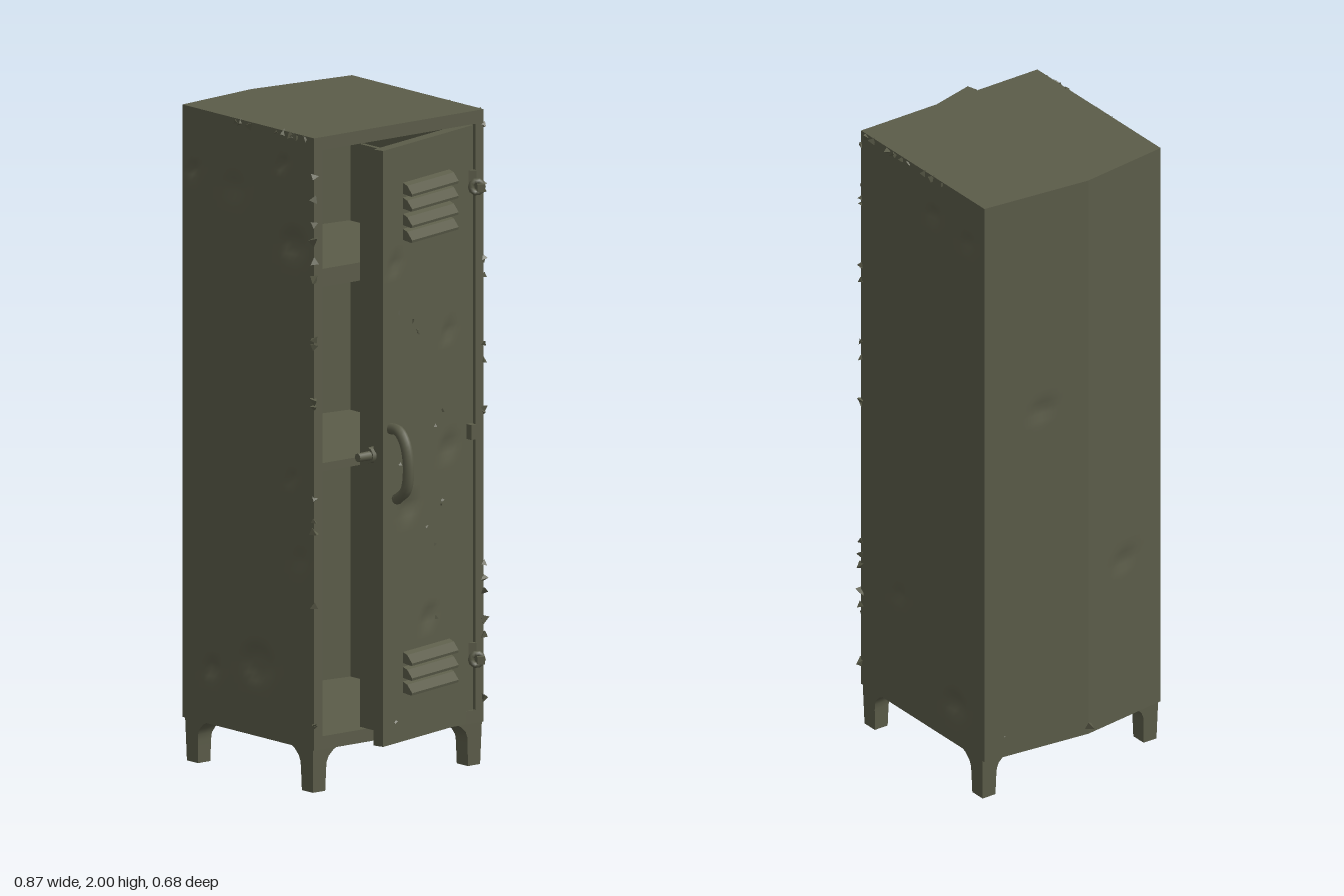
import * as THREE from 'three';

const paint = new THREE.MeshStandardMaterial({ color: 0x5b5c49 });
paint.name = 'drab green paint';

let seed = 7;
const rnd = () => (seed = (seed * 16807) % 2147483647) / 2147483647;

function add(parent, name, geo, x = 0, y = 0, z = 0) {
  const m = new THREE.Mesh(geo, paint);
  m.name = name;
  m.position.set(x, y, z);
  parent.add(m);
  return m;
}
const box = (p, name, w, h, d, x, y, z) => add(p, name, new THREE.BoxGeometry(w, h, d), x, y, z);

// Push the outer (+z) face of a panel inward around each dent [x, y, radius, depth]
function dent(geo, dents, outer) {
  const p = geo.attributes.position;
  for (let i = 0; i < p.count; i++) {
    if (p.getZ(i) < outer - 1e-4) continue;
    let d = 0;
    for (const [x, y, r, depth] of dents) {
      const k = Math.hypot(p.getX(i) - x, (p.getY(i) - y) * 1.3) / r;
      if (k < 1) d += depth * (1 - k * k) ** 2;
    }
    p.setZ(i, outer - Math.min(d, 0.016));
  }
  geo.computeVertexNormals();
  return geo;
}

const BOTTOM = 0.13, TOP = 1.99, H = TOP - BOTTOM, MID = (TOP + BOTTOM) / 2;
const XR = 0.24, XL = -0.377, Z = 0.325;

// Upright sheet from p to q, with its outer face on that line
function wall(parent, name, [px, pz], [qx, qz], dents) {
  const dx = qx - px, dz = qz - pz, L = Math.hypot(dx, dz), t = 0.022;
  const geo = new THREE.BoxGeometry(L, H, t, Math.round(L * 50), 90, 1);
  const a = Math.atan2(-dz, dx);
  const m = add(parent, name, dent(geo, dents, t / 2),
    (px + qx) / 2 - Math.sin(a) * t / 2, MID, (pz + qz) / 2 - Math.cos(a) * t / 2);
  m.rotation.y = a;
}

// Five-sided plate that follows the cabinet outline
function plate(parent, name, y, h) {
  const s = new THREE.Shape([[XL, Z], [-0.415, -0.03], [XL, -Z], [XR, -Z], [XR, Z]]
    .map(([x, y2]) => new THREE.Vector2(x, y2)));
  const geo = new THREE.ExtrudeGeometry(s, { depth: h, bevelEnabled: false });
  geo.rotateX(-Math.PI / 2);
  add(parent, name, geo, 0, y, 0);
}

function legGeometry(sx, sz) {
  const geo = new THREE.BoxGeometry(0.06, 0.14, 0.055, 2, 8, 2);
  const p = geo.attributes.position;
  for (let i = 0; i < p.count; i++) {
    const t = p.getY(i) / 0.14 + 0.5, flare = 0.06 * Math.max(0, (t - 0.5) * 2) ** 3;
    let x = p.getX(i) * (0.86 + 0.14 * t), z = p.getZ(i) * (0.86 + 0.14 * t);
    if (x * sx < -0.01) x -= sx * flare;
    if (z * sz < -0.01) z -= sz * flare;
    p.setXYZ(i, x, p.getY(i), z);
  }
  geo.computeVertexNormals();
  return geo;
}

function cabinet(root) {
  const g = new THREE.Group();
  g.name = 'cabinet';
  root.add(g);
  wall(g, 'frontWall', [XL, Z], [XR, Z], [
    [0.21, 0.59, 0.08, 0.022], [0.16, 0.83, 0.03, 0.02], [-0.26, 0.74, 0.035, 0.02],
    [0.04, -0.71, 0.1, 0.024], [-0.17, -0.76, 0.05, 0.02], [0.2, -0.12, 0.03, 0.015],
    [-0.07, 0.72, 0.07, 0.01], [0.24, -0.36, 0.05, 0.008]]);
  wall(g, 'backWall', [XR, -Z], [XL, -Z], [
    [0.16, -0.8, 0.07, 0.018], [0.05, 0.8, 0.04, 0.015], [-0.12, -0.55, 0.04, 0.012], [0.22, 0.78, 0.04, 0.012]]);
  wall(g, 'sideWallRear', [XL, -Z], [-0.415, 0.03], [[0.02, 0.2, 0.06, 0.008]]);
  wall(g, 'sideWallFront', [-0.415, 0.03], [XL, Z], [[0, -0.4, 0.06, 0.008]]);
  plate(g, 'roof', 1.95, 0.04);
  plate(g, 'floor', BOTTOM, 0.04);
  // Door frame
  for (const s of [-1, 1]) box(g, 'doorJamb', 0.025, H, 0.032, XR - 0.0125, MID, s * (Z - 0.016));
  // Shelves
  for (const [y, h] of [[1.55, 0.055], [0.975, 0.025]]) {
    box(g, 'shelf', 0.57, 0.012, 0.6, -0.09, y, 0);
    box(g, 'shelfLip', 0.015, h, 0.6, 0.19, y, 0);
  }
  for (const sx of [-1, 1]) for (const sz of [-1, 1])
    add(g, 'leg', legGeometry(sx, sz), sx < 0 ? -0.336 : 0.203, 0.07, sz * 0.297);
}

// Chips of lifted metal along edges and roof
function chips(root) {
  const g = new THREE.Group();
  g.name = 'edgeChips';
  root.add(g);
  const chip = (x, y, z) => {
    const m = add(g, 'chip', new THREE.TetrahedronGeometry(0.009 + rnd() * 0.008), x, y, z);
    m.rotation.set(rnd() * 6, rnd() * 6, rnd() * 6);
    m.scale.y = 0.8 + rnd() * 0.7;
  };
  for (const z of [-Z, Z]) {
    for (let i = 0; i < 16; i++) chip(XR, 0.2 + rnd() * 1.75, z);
    for (let i = 0; i < 10; i++) chip(-0.2 + rnd() * 0.42, TOP - 0.01, z);
  }
  chip(-0.422, 0.16, 0.03);
  chip(XL, 0.2, -0.25);
}

function door(root) {
  const g = new THREE.Group();
  g.name = 'door';
  g.position.set(0.195, 0, -0.29);
  g.rotation.y = 0.256;
  root.add(g);
  const W = 0.46, y0 = 0.135, y1 = 1.945, h = y1 - y0, yc = (y0 + y1) / 2;
  // Outer sheet, turned so its outer face is +x
  const sheet = new THREE.BoxGeometry(W, h, 0.016, 22, 80, 1);
  dent(sheet, [[-0.1, -0.2, 0.06, 0.012], [0.1, 0.3, 0.04, 0.01], [0, -0.55, 0.05, 0.01],
    [-0.17, 0.55, 0.04, 0.01], [0.1, -0.05, 0.06, 0.01]], 0.008);
  sheet.rotateY(Math.PI / 2);
  add(g, 'doorSheet', sheet, 0.027, yc, W / 2);
  // Folded rim on the inside
  for (const z of [0.01, W - 0.01]) box(g, 'doorRim', 0.028, h, 0.02, 0.014, yc, z);
  for (const y of [y0 + 0.01, y1 - 0.01]) box(g, 'doorRim', 0.028, 0.02, W, 0.014, y, W / 2);

  // Vent hoods
  const hood = new THREE.Shape([[0, 0.022], [0.018, 0.014], [0.036, -0.01], [0.034, -0.018], [0, -0.012]]
    .map(([x, y]) => new THREE.Vector2(x, y)));
  const hoodGeo = new THREE.ExtrudeGeometry(hood, { depth: 0.235, bevelEnabled: false });
  for (const y of [1.81, 1.765, 1.715, 1.67, 0.385, 0.34, 0.295]) add(g, 'ventHood', hoodGeo, 0.033, y, 0.126);

  // Small dings on the sheet
  for (let i = 0; i < 14; i++) {
    const m = add(g, 'paintChip', new THREE.TetrahedronGeometry(0.009), 0.034, 0.2 + rnd() * 1.7, 0.03 + rnd() * 0.4);
    m.rotation.set(rnd() * 6, rnd() * 6, rnd() * 6);
  }
}

function fittings(root) {
  // Broken pull handle, held only at its top
  const path = new THREE.CatmullRomCurve3([[0.325, 1.095], [0.375, 1.095], [0.407, 1.06], [0.422, 0.99], [0.41, 0.92], [0.37, 0.888]]
    .map(([x, y]) => new THREE.Vector3(x, y, 0.112)));
  const handle = new THREE.TubeGeometry(path, 24, 0.017, 8);
  add(root, 'handle', handle);
  const tip = path.getPoint(1);
  add(root, 'handleTip', new THREE.SphereGeometry(0.017, 8, 6), tip.x, tip.y, tip.z);

  // Front-facing return strip behind the door edge
  box(root, 'doorReturn', 0.1, 1.77, 0.014, 0.275, 1.06, 0.13);

  // Lock knob
  const knob = add(root, 'lockKnob', new THREE.CylinderGeometry(0.024, 0.026, 0.03, 10), 0.297, 1.015, 0.15);
  knob.rotation.x = Math.PI / 2;
  const pin = add(root, 'lockPin', new THREE.CylinderGeometry(0.013, 0.015, 0.06, 8), 0.303, 1.015, 0.18);
  pin.rotation.x = Math.PI / 2;

  // Bent hinges
  for (const y of [1.77, 0.335]) {
    const g = new THREE.Group();
    g.name = 'hinge';
    g.position.set(0.272, y, -0.282);
    g.rotation.y = -0.55;
    root.add(g);
    box(g, 'hingeArm', 0.085, 0.022, 0.022, 0, 0, 0);
    const eye = add(g, 'hingeEye', new THREE.TorusGeometry(0.018, 0.009, 6, 10), 0.02, 0, 0.01);
    eye.rotation.y = Math.PI / 2;
    box(g, 'hingeLeaf', 0.012, 0.06, 0.03, -0.03, 0.01, 0.02);
  }
  // Latch stub between the hinges
  box(root, 'hingeStub', 0.035, 0.045, 0.02, 0.245, 1.02, -0.27);
}

export function createModel() {
  const root = new THREE.Group();
  root.name = 'locker';
  cabinet(root);
  door(root);
  fittings(root);
  chips(root);
  return root;
}
